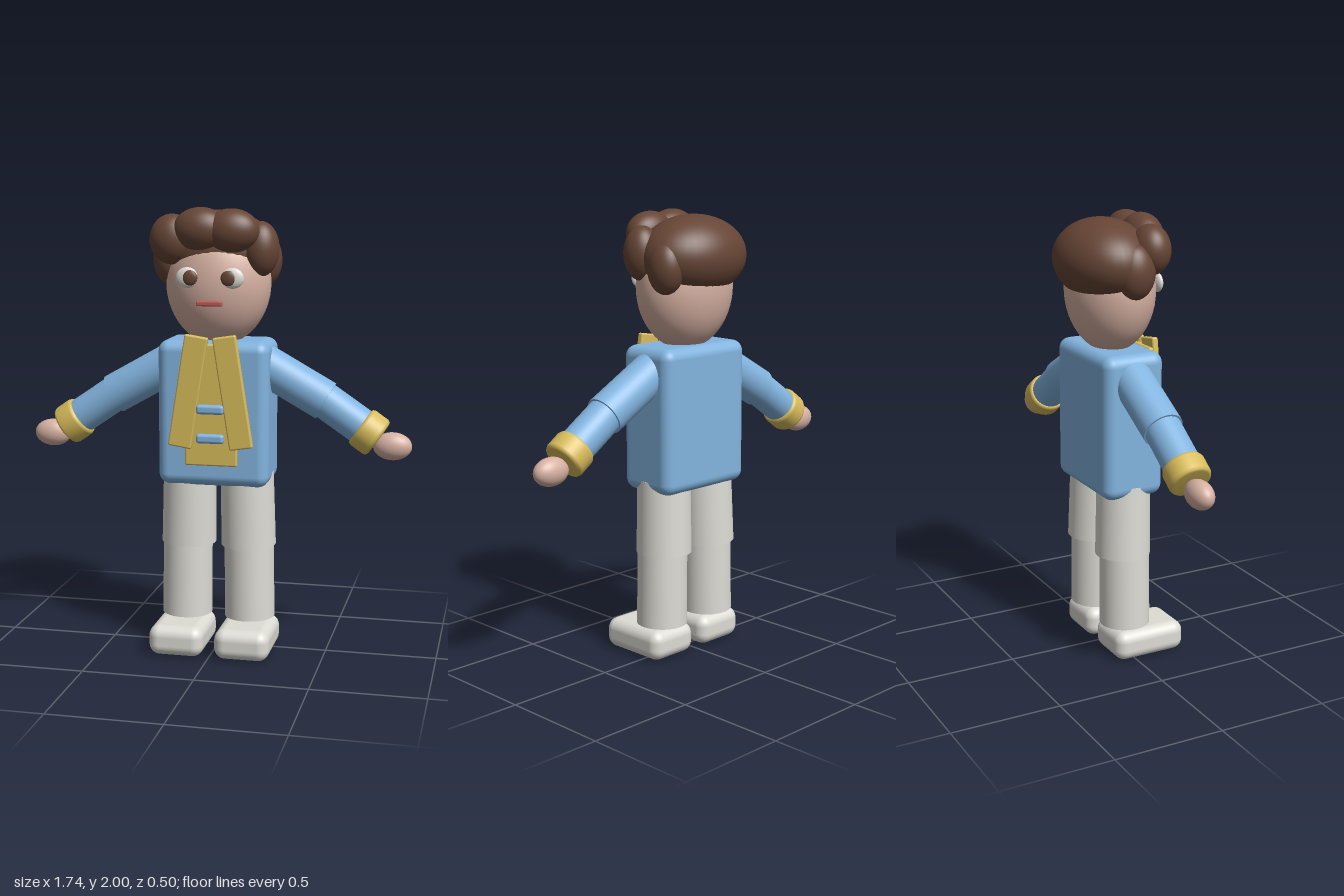
import * as THREE from 'three';
import { RoundedBoxGeometry } from 'three/addons/geometries/RoundedBoxGeometry.js';

const mat = (name, color) => {
  const m = new THREE.MeshStandardMaterial({ color });
  m.name = name;
  return m;
};

export function createModel() {
  const group = new THREE.Group();
  const hair = mat('hair brown', 0x664535);
  const skin = mat('skin', 0xd6b1a2);
  const blue = mat('jacket blue', 0x82b4df);
  const gold = mat('scarf gold', 0xd8bc5c);
  const white = mat('off white', 0xdddcd5);
  const red = mat('lip red', 0xc05a58);

  const add = (name, geometry, material, x = 0, y = 0, z = 0, rz = 0) => {
    const mesh = new THREE.Mesh(geometry, material);
    mesh.name = name;
    mesh.position.set(x, y, z);
    mesh.rotation.z = rz;
    group.add(mesh);
    return mesh;
  };
  const blob = (name, material, [x, y, z], [rx, ry, rz], tilt = 0) =>
    add(name, new THREE.SphereGeometry(1, 40, 28).scale(rx, ry, rz), material, x, y, z, tilt);
  const block = (name, material, [x, y, z], [w, h, d], r, tilt = 0) =>
    add(name, new RoundedBoxGeometry(w, h, d, 4, r), material, x, y, z, tilt);
  // Cylinder between two points
  const limb = (name, material, a, b, r0, r1 = r0) => {
    const from = new THREE.Vector3(...a), to = new THREE.Vector3(...b);
    const dir = to.clone().sub(from);
    const mesh = add(name, new THREE.CylinderGeometry(r1, r0, dir.length(), 40), material);
    mesh.position.copy(from).add(to).multiplyScalar(0.5);
    mesh.quaternion.setFromUnitVectors(new THREE.Vector3(0, 1, 0), dir.normalize());
    return mesh;
  };

  // Torso and head
  block('torso', blue, [0, 1.095, 0], [0.5, 0.65, 0.29], 0.05);
  blob('head', skin, [0, 1.67, 0], [0.235, 0.28, 0.192]);

  // Hair: a cap at the back with curls around the front and sides
  blob('hairCap', hair, [-0.01, 1.805, -0.04], [0.265, 0.18, 0.207]);
  const curls = [
    [[-0.185, 1.86, 0.1], [0.1, 0.11, 0.085]],
    [[-0.05, 1.905, 0.13], [0.122, 0.095, 0.085]],
    [[0.085, 1.9, 0.13], [0.122, 0.095, 0.085]],
    [[0.2, 1.82, 0.06], [0.082, 0.12, 0.082]],
    [[0.195, 1.765, -0.08], [0.075, 0.115, 0.085]],
    [[-0.215, 1.775, 0.01], [0.077, 0.12, 0.09]],
  ];
  for (const [p, s] of curls) blob('hairCurl', hair, p, s);

  // Face
  for (const s of [-1, 1]) {
    blob('eye', white, [s * 0.1, 1.7, 0.178], [0.05, 0.045, 0.02]);
    blob('pupil', hair, [s * 0.084, 1.7, 0.192], [0.033, 0.033, 0.012]);
  }
  block('mouth', red, [0, 1.59, 0.187], [0.115, 0.022, 0.024], 0.006);

  // Scarf panels and clasps
  block('scarfPanel', gold, [0, 1.14, 0.15], [0.235, 0.54, 0.03], 0.008);
  for (const s of [-1, 1])
    block('scarfStrip', gold, [s * 0.1, 1.2, 0.168], [0.105, 0.5, 0.03], 0.008, s * 0.157);
  for (const y of [0.995, 1.125])
    block('clasp', blue, [0, y, 0.175], [0.125, 0.042, 0.034], 0.014);

  // Rounded cuff profile
  const cuffProfile = [
    [0, -0.05], [0.078, -0.05], [0.089, -0.045], [0.094, -0.033],
    [0.094, 0.033], [0.089, 0.045], [0.078, 0.05], [0, 0.05],
  ].map(([x, y]) => new THREE.Vector2(x, y));

  for (const s of [-1, 1]) {
    // Arms
    limb('upperArm', blue, [s * 0.17, 1.33, 0], [s * 0.485, 1.153, 0], 0.09);
    limb('forearm', blue, [s * 0.45, 1.177, 0], [s * 0.69, 1.014, 0], 0.081);
    add('cuff', new THREE.LatheGeometry(cuffProfile, 40), gold, s * 0.68, 1.02, 0, s * 0.96);
    blob('hand', skin, [s * 0.783, 0.962, 0], [0.086, 0.062, 0.053]);

    // Legs and feet
    limb('thigh', white, [s * 0.139, 0.483, -0.007], [s * 0.132, 0.82, 0], 0.124, 0.12);
    limb('shin', white, [s * 0.147, 0.148, 0], [s * 0.142, 0.5, 0], 0.114, 0.112);
    limb('ankle', white, [s * 0.147, 0.1, 0], [s * 0.147, 0.16, 0], 0.07);
    block('foot', white, [s * 0.15, 0.069, 0.078], [0.25, 0.138, 0.345], 0.05);
  }
  return group;
}
